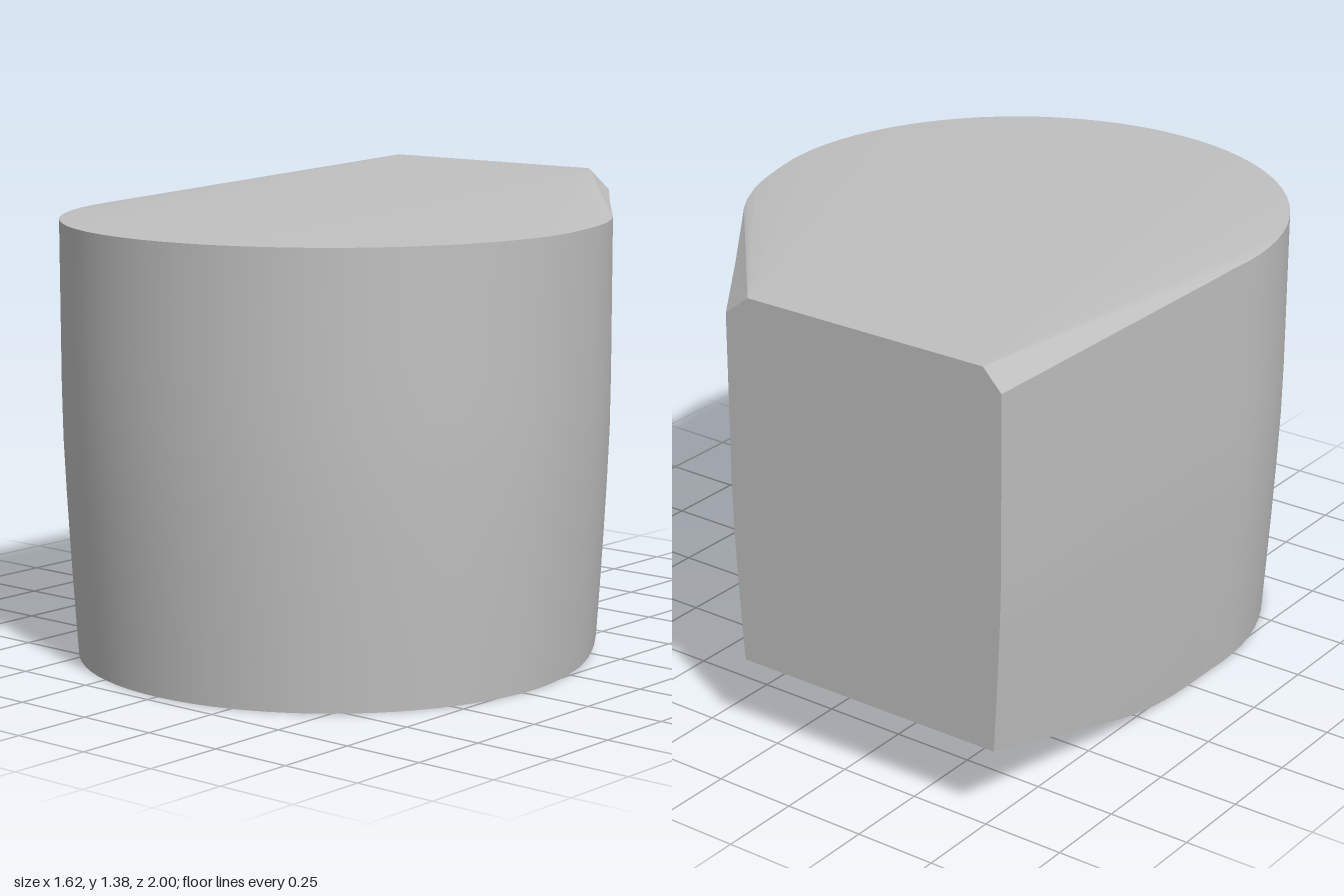
import * as THREE from 'three';

const RIM = 1.313, PEAK = 1.376;

// Plan outline, from the back right corner round the front to the back left corner
function outline() {
  const right = [[0.14, -1], [0.37, -0.69], [0.59, -0.4], [0.64, -0.335], [0.685, -0.265],
    [0.725, -0.185], [0.757, -0.1], [0.783, 0], [0.803, 0.1]];
  const left = right.map(([, z]) => [-0.808 + 0.008 * Math.max(0, -z), z]).reverse();
  const arc = [];
  for (let i = 0; i <= 40; i++) {
    const a = Math.PI * i / 40;
    arc.push([0.81 * Math.cos(a), 0.19 + 0.81 * Math.sin(a)]);
  }
  return [...right, ...arc, ...left];
}

// Underside is level in front and sweeps up towards the back
const underside = z => z >= 0 ? 0 : z > -0.4 ? 0.375 * z * z : 0.06 + 0.3 * (-0.4 - z);
// The wall draws in below mid height
const taper = y => 0.038 * Math.pow(Math.max(0, 1 - y / 0.75), 1.3);

function geometry(points, index, flat) {
  let g = new THREE.BufferGeometry().setFromPoints(points);
  g.setIndex(index);
  if (flat) g = g.toNonIndexed();
  g.computeVertexNormals();
  return g;
}

export function createModel() {
  const group = new THREE.Group();
  group.name = 'taperedBlock';
  const grey = new THREE.MeshStandardMaterial({ color: 0xc0c0c0 });
  grey.name = 'plain grey';
  const add = (name, points, index, flat) => {
    const mesh = new THREE.Mesh(geometry(points, index, flat), grey);
    mesh.name = name;
    group.add(mesh);
  };

  const plan = outline(), n = plan.length, rows = 8;

  // Rings of the wall from the underside to the rim
  const ring = t => plan.map(([x, z], i) => {
    const low = underside(z), y = low + (RIM - low) * t, d = taper(y);
    const p = plan[Math.max(0, i - 1)], q = plan[Math.min(n - 1, i + 1)];
    const dx = q[0] - p[0], dz = q[1] - p[1], len = Math.hypot(dx, dz);
    const nx = dz / len, nz = -dx / len;
    if (i === 0 || i === n - 1) return new THREE.Vector3(x - d / nx, y, z);
    return new THREE.Vector3(x - nx * d, y, z - nz * d);
  });
  const rings = [];
  for (let r = 0; r <= rows; r++) rings.push(ring(r / rows));

  // Side wall
  const wall = [];
  for (let r = 0; r < rows; r++) {
    for (let i = 0; i < n - 1; i++) {
      const a = r * n + i, up = a + n;
      wall.push(a, up, a + 1, up, up + 1, a + 1);
    }
  }
  add('sideWall', rings.flat(), wall, false);

  // Underside, in strips from right to left
  const under = [];
  for (let i = 0; i < Math.floor(n / 2); i++) {
    const l = n - 1 - i;
    under.push(i, i + 1, l);
    if (l - 1 > i + 1) under.push(i + 1, l - 1, l);
  }
  add('underside', rings[0], under, false);

  // Lid, rising from the rim to a raised back edge
  const peakRight = new THREE.Vector3(0.06, PEAK, -1);
  const peakLeft = new THREE.Vector3(-0.74, PEAK, -1);
  const lid = [], front = Math.floor(n / 2);
  for (let i = 0; i < n - 1; i++) lid.push(i < front ? n : n + 1, i + 1, i);
  lid.push(n, n + 1, front);
  add('lid', [...rings[rows], peakRight, peakLeft], lid, true);

  // Flat back
  const rightEdge = rings.map(r => r[0]), leftEdge = rings.map(r => r[n - 1]);
  const back = [...leftEdge, peakLeft, peakRight, ...rightEdge.reverse()];
  const shape = back.map(p => new THREE.Vector2(-p.x, p.y));
  const faces = THREE.ShapeUtils.triangulateShape(shape, []);
  // Turn every face towards the back
  const backIndex = faces.flatMap(([a, b, c]) => {
    const area = THREE.ShapeUtils.area([shape[a], shape[b], shape[c]]);
    return area > 0 ? [a, b, c] : [a, c, b];
  });
  add('backFace', back, backIndex, true);

  return group;
}
